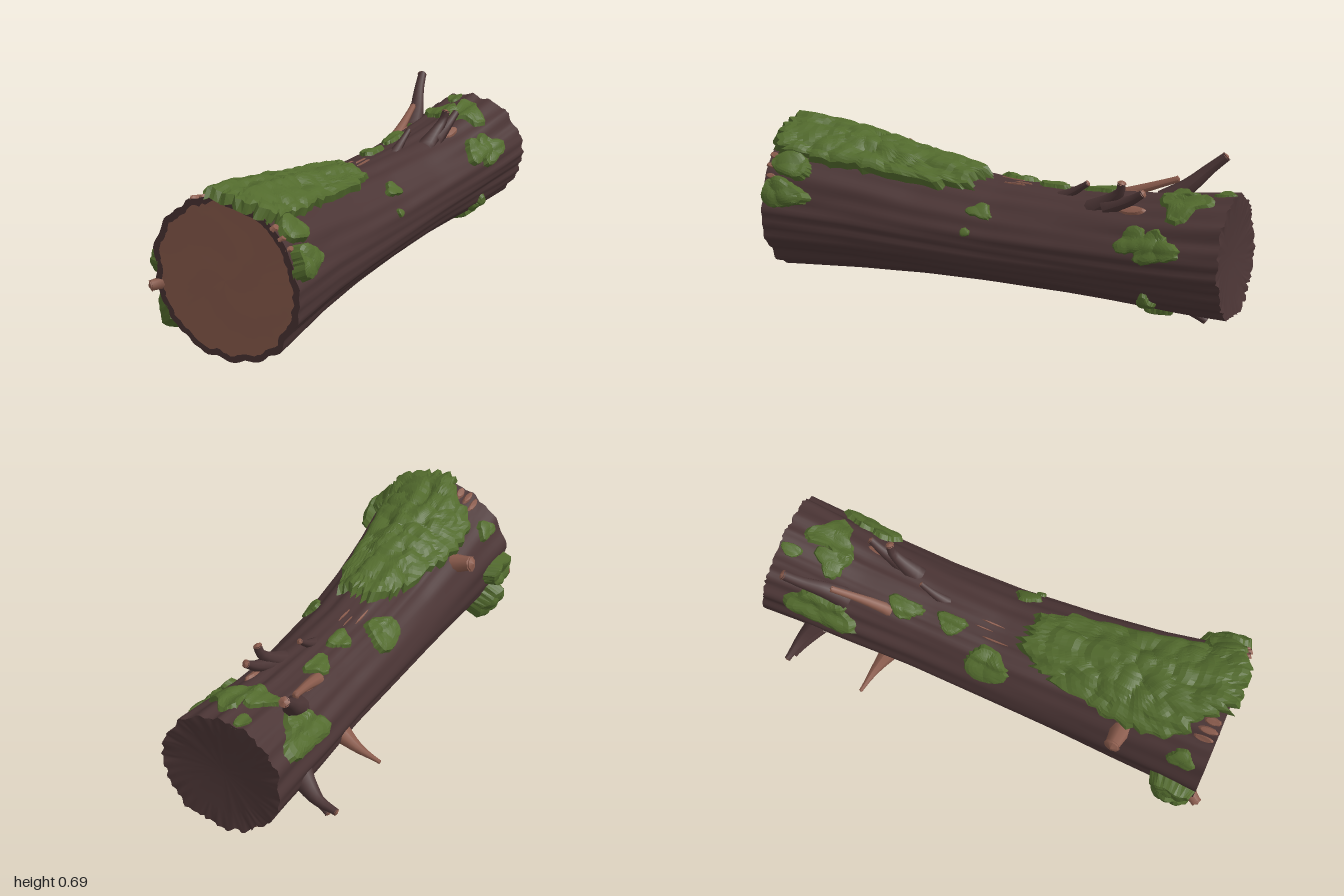
import * as THREE from 'three';

const bark = new THREE.MeshStandardMaterial({ color: 0x4b3535 });
bark.name = 'bark';
const wood = new THREE.MeshStandardMaterial({ color: 0x8b5c4d });
wood.name = 'cut wood';
const moss = new THREE.MeshStandardMaterial({ color: 0x526a2d, side: THREE.DoubleSide });
moss.name = 'moss';

// Trunk cross-sections: z, centre x, centre y, radius x, radius y
const SECTIONS = [
  [0.96, 0.035, 0.322, 0.325, 0.313], [0.8, 0.03, 0.316, 0.304, 0.288],
  [0.6, 0.02, 0.31, 0.282, 0.262], [0.33, 0.015, 0.298, 0.258, 0.227],
  [0, 0.01, 0.292, 0.238, 0.208], [-0.3, 0.01, 0.301, 0.23, 0.206],
  [-0.6, 0.01, 0.316, 0.237, 0.216], [-0.8, 0.015, 0.335, 0.245, 0.229],
  [-0.97, 0.015, 0.353, 0.252, 0.236],
];

const hash = (i, j = 0) => {
  const s = Math.sin(i * 127.1 + j * 311.7 + 4.3) * 43758.5453;
  return s - Math.floor(s);
};

function section(z) {
  const zc = Math.min(0.96, Math.max(-0.97, z));
  let i = 0;
  while (i < SECTIONS.length - 2 && SECTIONS[i + 1][0] > zc) i++;
  const A = SECTIONS[i], B = SECTIONS[i + 1], t = (A[0] - zc) / (A[0] - B[0]);
  return A.map((v, k) => v + (B[k] - v) * t);
}

// Irregular furrows run lengthwise and drift slowly round the trunk
function ridges(a, z) {
  const furrow = Math.abs(Math.sin(5 * a + 1.9 * Math.sin(2 * a + z * 1.1) + z * 0.4)) - 0.6;
  const fine = Math.sin(23 * a + 3 * Math.sin(3 * a + 1) + 1.7 * z) * 0.3
    + Math.sin(14 * a + 2 * Math.sin(a) - 2.3 * z) * 0.3 + Math.sin(7 * a + 3 * z) * 0.25;
  return (0.007 + 0.006 * z * z) * (furrow * 0.8 + fine);
}

// Point on the trunk: a is the angle from the top towards +x
function surface(a, z, lift = 0, scale = 1) {
  const [, cx, cy, rx, ry] = section(z), n = ridges(a, z) + lift;
  return [cx + Math.sin(a) * (rx + n) * scale, cy + Math.cos(a) * (ry + n) * scale, z];
}

// Rounded tufts: 1 at the middle of each scattered cell, falling to 0 between them
function tufts(a, z) {
  const x = a * 4.2, y = z * 15, i0 = Math.floor(x), j0 = Math.floor(y);
  let d = 1;
  for (let i = i0 - 1; i <= i0 + 1; i++) for (let j = j0 - 1; j <= j0 + 1; j++)
    d = Math.min(d, (x - i - hash(i, j)) ** 2 + (y - j - hash(j, i + 40)) ** 2);
  return 1 - d;
}

// Closed ring grid: fn(u, v) gives points, u wraps round
function ringGrid(nu, nv, fn, flat = false) {
  const pos = [], idx = [];
  for (let j = 0; j <= nv; j++) for (let i = 0; i < nu; i++) pos.push(...fn(i / nu, j / nv, i, j));
  for (let j = 0; j < nv; j++) for (let i = 0; i < nu; i++) {
    const p = j * nu + i, q = j * nu + (i + 1) % nu;
    idx.push(p, q, p + nu, q, q + nu, p + nu);
  }
  let g = new THREE.BufferGeometry();
  g.setAttribute('position', new THREE.Float32BufferAttribute(pos, 3));
  g.setIndex(idx);
  if (flat) g = g.toNonIndexed();
  g.computeVertexNormals();
  return g;
}

// Patch with a ragged edge, wrapped on the bark from an outline of [angle, z] points
function patchGeometry(points, nu, nv, thick, seed) {
  const n = points.length;
  const ca = points.reduce((s, p) => s + p[0], 0) / n, cz = points.reduce((s, p) => s + p[1], 0) / n;
  return ringGrid(nu, nv, (u, v, i, j) => {
    const k = Math.floor(u * n), f = u * n - k, A = points[k], B = points[(k + 1) % n];
    const r = v * (1 + (hash(i, seed) - 0.5) * 0.16 * v ** 6);
    const a = ca + (A[0] + (B[0] - A[0]) * f - ca) * r;
    const z = Math.min(0.995, cz + (A[1] + (B[1] - A[1]) * f - cz) * r);
    const lift = j === nv ? -0.006 : thick * (1 - 0.45 * v ** 6) * (0.6 + 0.6 * tufts(a, z));
    return surface(a, z, lift);
  }, true);
}

const oval = (a, z, wa, wz, lobes = 0) => Array.from({ length: 16 }, (_, i) => {
  const t = i / 16 * Math.PI * 2, r = 1 + lobes * Math.sin(3 * t + a * 5);
  return [a + Math.cos(t) * wa * r, z + Math.sin(t) * wz * r];
});

// Tapered broken branch with a pale cut end
function branch(name, pts, r0, r1, mat) {
  const g = new THREE.Group(), seg = 8, sides = 8;
  g.name = name;
  const curve = new THREE.CatmullRomCurve3(pts.map(p => new THREE.Vector3(...p)));
  const geo = new THREE.TubeGeometry(curve, seg, 1, sides, false);
  const p = geo.attributes.position, v = new THREE.Vector3();
  for (let i = 0; i < p.count; i++) {
    const ring = Math.floor(i / (sides + 1)), t = ring / seg, c = curve.getPointAt(t);
    const r = (r1 + (r0 - r1) * (1 - t) ** 1.5) * (0.88 + 0.24 * hash(i % (sides + 1) % sides, 5));
    v.fromBufferAttribute(p, i).sub(c).multiplyScalar(r).add(c);
    p.setXYZ(i, v.x, v.y, v.z);
  }
  geo.computeVertexNormals();
  const end = new THREE.Mesh(new THREE.ConeGeometry(r1 * 1.08, r1 * 0.5, sides).rotateX(Math.PI / 2), wood);
  end.position.copy(curve.getPointAt(1));
  end.lookAt(end.position.clone().add(curve.getTangentAt(1)));
  end.name = 'brokenEnd';
  const stem = new THREE.Mesh(geo, mat);
  stem.name = 'stem';
  g.add(stem, end);
  return g;
}

export function createModel() {
  const model = new THREE.Group();
  model.name = 'mossyLog';
  const add = (name, geo, mat) => {
    const m = new THREE.Mesh(geo, mat);
    m.name = name;
    model.add(m);
  };
  const TAU = Math.PI * 2, N = 120;
  const backZ = y => -0.97 + (y - 0.355) * 0.08;

  // Trunk, with its back end cut slightly askew
  add('trunk', ringGrid(N, 44, (u, v) => {
    const p = surface(u * TAU, 0.96 - 1.93 * v);
    if (v > 0.9) p[2] += (v - 0.9) * 10 * (backZ(p[1]) + 0.97 + (hash(u * N, 3) - 0.5) * 0.015);
    return p;
  }), bark);

  // Cut ends: pale wood inside a ragged bark rim at the front, dark at the back
  const rim = i => 0.918 + (hash(i, 9) - 0.5) * 0.025;
  add('frontBarkRim', ringGrid(N, 1, (u, v, i) => surface(u * TAU, 0.96, 0, v ? 1 : rim(i))), bark);
  add('frontCutFace', ringGrid(N, 8, (u, v, i) => {
    const p = surface(u * TAU, 0.96, 0, v * rim(i));
    p[2] -= 0.004 * v * (1 - v) * (1 + Math.sin(u * TAU * 3 + v * 7));
    return p;
  }), wood);
  add('backCutFace', ringGrid(N, 6, (u, v) => {
    const p = surface(u * TAU, -0.97, 0, 1 - v);
    p[2] = backZ(p[1]) + 0.02 * Math.sin(v * Math.PI / 2) + (v ? 0 : (hash(u * N, 3) - 0.5) * 0.015);
    return p;
  }), bark);

  // Large moss blanket over the front top
  add('mossBlanket', patchGeometry([
    [0.66, 0.7], [0.68, 0.85], [0.66, 0.95], [0.45, 0.985], [0.1, 0.99], [-0.18, 0.97], [-0.42, 0.87],
    [-0.76, 0.8], [-0.82, 0.62], [-0.72, 0.44], [-0.56, 0.26], [-0.42, 0.14], [-0.1, 0.09], [0.14, 0.09],
    [0.44, 0.13], [0.56, 0.26], [0.62, 0.5],
  ], 102, 18, 0.044, 1), moss);

  // Smaller moss patches: angle, z, half-angle, half-length, lobes, thickness
  [
    [1.2, 0.87, 0.21, 0.1, 0.15, 0.045], [0.8, 0.86, 0.2, 0.09, 0.1, 0.03],
    [-1.6, 0.86, 0.2, 0.1, 0.1, 0.052], [-2.15, 0.86, 0.32, 0.1, 0.1, 0.066],
    [-0.95, 0.86, 0.14, 0.06, 0.2, 0.018],
    [-0.78, 0, 0.36, 0.1, 0.1, 0.02], [-0.3, -0.19, 0.2, 0.065, 0.2, 0.015],
    [-0.36, -0.39, 0.2, 0.08, 0.2, 0.016], [0.26, -0.77, 0.36, 0.1, 0.35, 0.018],
    [-0.15, -0.73, 0.25, 0.075, 0.3, 0.018], [-0.25, -0.9, 0.12, 0.05, 0.1, 0.012],
    [-1.0, -0.71, 0.42, 0.15, 0.25, 0.022], [1.12, -0.71, 0.3, 0.09, 0.25, 0.022],
    [1.02, -0.62, 0.26, 0.08, 0.25, 0.022],
    [0.82, 0.04, 0.16, 0.055, 0.25, 0.016], [1.25, 0.08, 0.09, 0.022, 0.1, 0.01],
    [2.25, -0.67, 0.2, 0.04, 0.25, 0.018], [2.85, -0.7, 0.38, 0.06, 0.25, 0.022],
  ].forEach(([a, z, wa, wz, lobes, t], i) =>
    add('mossPatch', patchGeometry(oval(a, z, wa, wz, lobes), 40, 6, t, i * 13 + 7), moss));

  // Bare strips where the bark has peeled: angle, z, half-angle, half-length, thickness
  [
    [-0.5, -0.5, 0.1, 0.08, 0.009], [0.42, -0.57, 0.1, 0.07, 0.009],
    [-0.3, 0.0, 0.02, 0.07, 0.005], [-0.03, -0.03, 0.018, 0.06, 0.005], [-0.16, -0.06, 0.015, 0.05, 0.005],
    [-0.58, 0.91, 0.05, 0.05, 0.009], [-0.46, 0.915, 0.05, 0.045, 0.009], [-0.34, 0.92, 0.06, 0.04, 0.009],
    [0.72, 0.945, 0.05, 0.025, 0.009], [0.86, 0.94, 0.04, 0.03, 0.009], [1.0, 0.935, 0.04, 0.025, 0.009],
  ].forEach(([a, z, wa, wz, t], i) =>
    add('peeledStrip', patchGeometry(oval(a, z, wa, wz), 20, 3, t, i * 5 + 3), wood));

  // Broken branches: name, path, base radius, tip radius, colour
  [
    ['tallBranch', [[-0.12, 0.48, -0.63], [-0.145, 0.55, -0.72], [-0.175, 0.62, -0.79], [-0.195, 0.68, -0.855]], 0.05, 0.02, bark],
    ['bareSplinter', [[-0.1, 0.48, -0.44], [-0.115, 0.525, -0.55], [-0.14, 0.575, -0.68]], 0.028, 0.014, wood],
    ['topBranch', [[0.08, 0.48, -0.4], [0.09, 0.54, -0.48], [0.1, 0.58, -0.52], [0.11, 0.625, -0.53]], 0.045, 0.017, bark],
    ['topFork', [[0.09, 0.5, -0.46], [0.1, 0.55, -0.56], [0.11, 0.595, -0.62]], 0.04, 0.016, bark],
    ['topTwig', [[0.02, 0.47, -0.22], [0.02, 0.52, -0.3], [0.025, 0.565, -0.36]], 0.03, 0.012, bark],
    ['sideSpike', [[-0.18, 0.24, -0.42], [-0.28, 0.215, -0.45], [-0.385, 0.2, -0.47]], 0.045, 0.008, wood],
    ['rearSpike', [[-0.18, 0.27, -0.74], [-0.28, 0.22, -0.79], [-0.38, 0.205, -0.81]], 0.055, 0.014, bark],
    ['rearLowerBranch', [[0.0, 0.18, -0.66], [-0.02, 0.095, -0.76], [-0.04, 0.03, -0.85]], 0.06, 0.017, bark],
    ['rearStub', [[-0.2, 0.24, -0.74], [-0.34, 0.175, -0.8]], 0.045, 0.014, bark],
    ['sideStub', [[-0.18, 0.45, 0.6], [-0.24, 0.47, 0.595], [-0.285, 0.485, 0.59]], 0.05, 0.032, wood],
    ['frontStub', [[-0.22, 0.25, 0.9], [-0.27, 0.245, 0.95], [-0.295, 0.24, 0.985]], 0.04, 0.022, wood],
  ].forEach(b => model.add(branch(...b)));

  return model;
}
